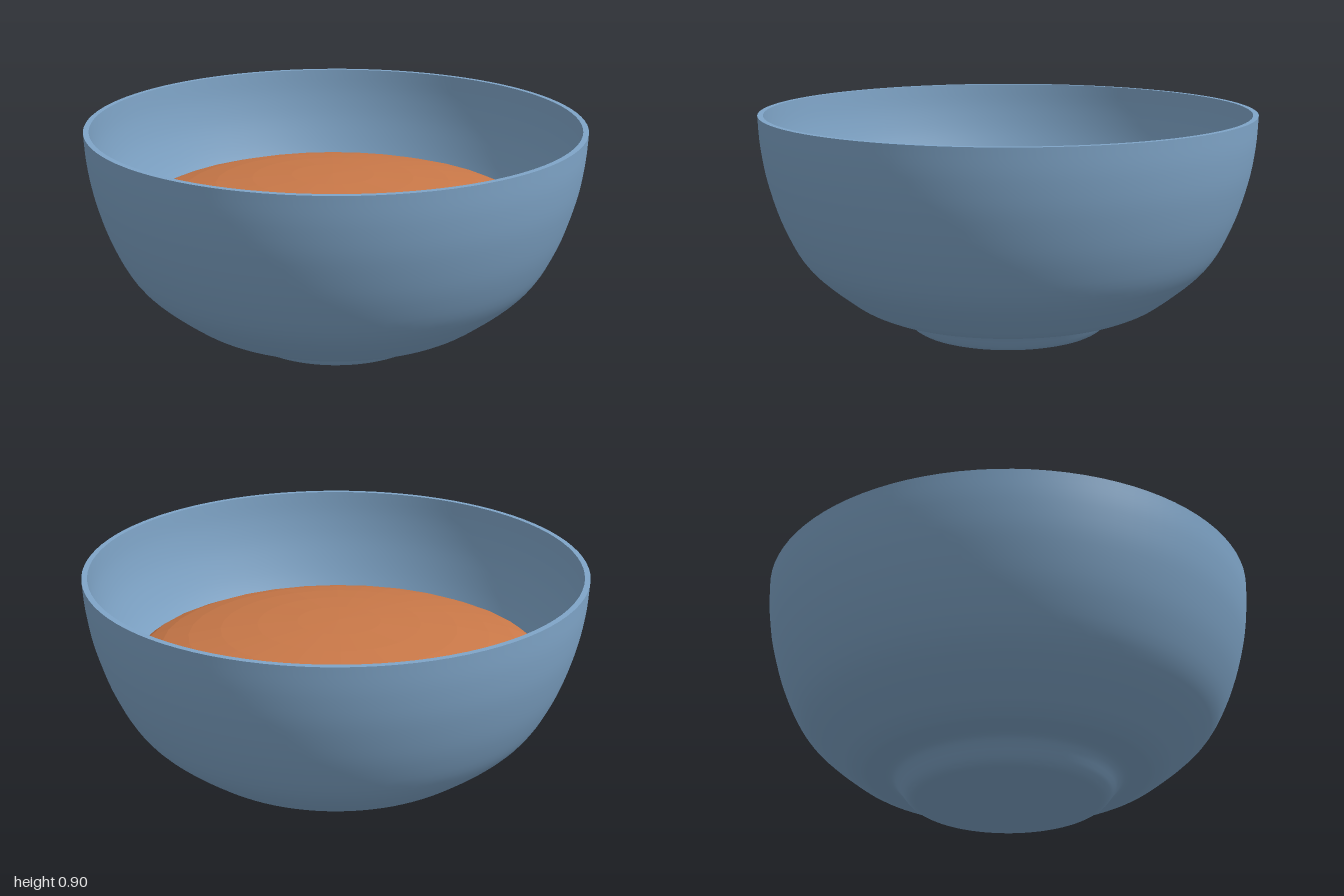
import * as THREE from 'three';
import { toCreasedNormals } from 'three/addons/utils/BufferGeometryUtils.js';

const v = (x, y) => new THREE.Vector2(x, y);
const curve = (pts, n) => new THREE.SplineCurve(pts.map(([x, y]) => v(x, y))).getPoints(n);

function createBowl() {
  const wall = [[0.58, 0.11], [0.66, 0.155], [0.82, 0.295], [0.91, 0.455], [0.968, 0.635], [0.993, 0.78], [1, 0.9]];
  const foot = [[0.36, 0], [0.385, 0.006], [0.41, 0.025], [0.44, 0.066], [0.465, 0.09], [0.51, 0.1], [0.58, 0.11]];
  const inner = [[0.978, 0.9], [0.971, 0.78], [0.946, 0.64], [0.89, 0.468], [0.805, 0.313], [0.65, 0.178], [0.56, 0.135], [0.4, 0.12]];
  const profile = [
    v(0, 0),
    ...curve(foot, 18),
    ...curve(wall, 30).slice(1),
    ...curve(inner, 30),
    v(0, 0.115),
  ];
  const geometry = toCreasedNormals(new THREE.LatheGeometry(profile, 96), 0.6);
  const bowl = new THREE.Mesh(geometry, new THREE.MeshStandardMaterial({ color: 0x7fa5c8 }));
  bowl.name = 'bowl';
  return bowl;
}

// Flattened, faceted mound resting inside the bowl
function createFilling() {
  const material = new THREE.MeshStandardMaterial({ color: 0xc97848, flatShading: true });
  const filling = new THREE.Mesh(new THREE.SphereGeometry(1, 32, 16), material);
  filling.scale.set(0.86, 0.2, 0.75);
  filling.position.set(-0.012, 0.475, -0.03);
  filling.name = 'filling';
  return filling;
}

export function createModel() {
  const group = new THREE.Group();
  group.name = 'filledBowl';
  group.add(createBowl(), createFilling());
  return group;
}
